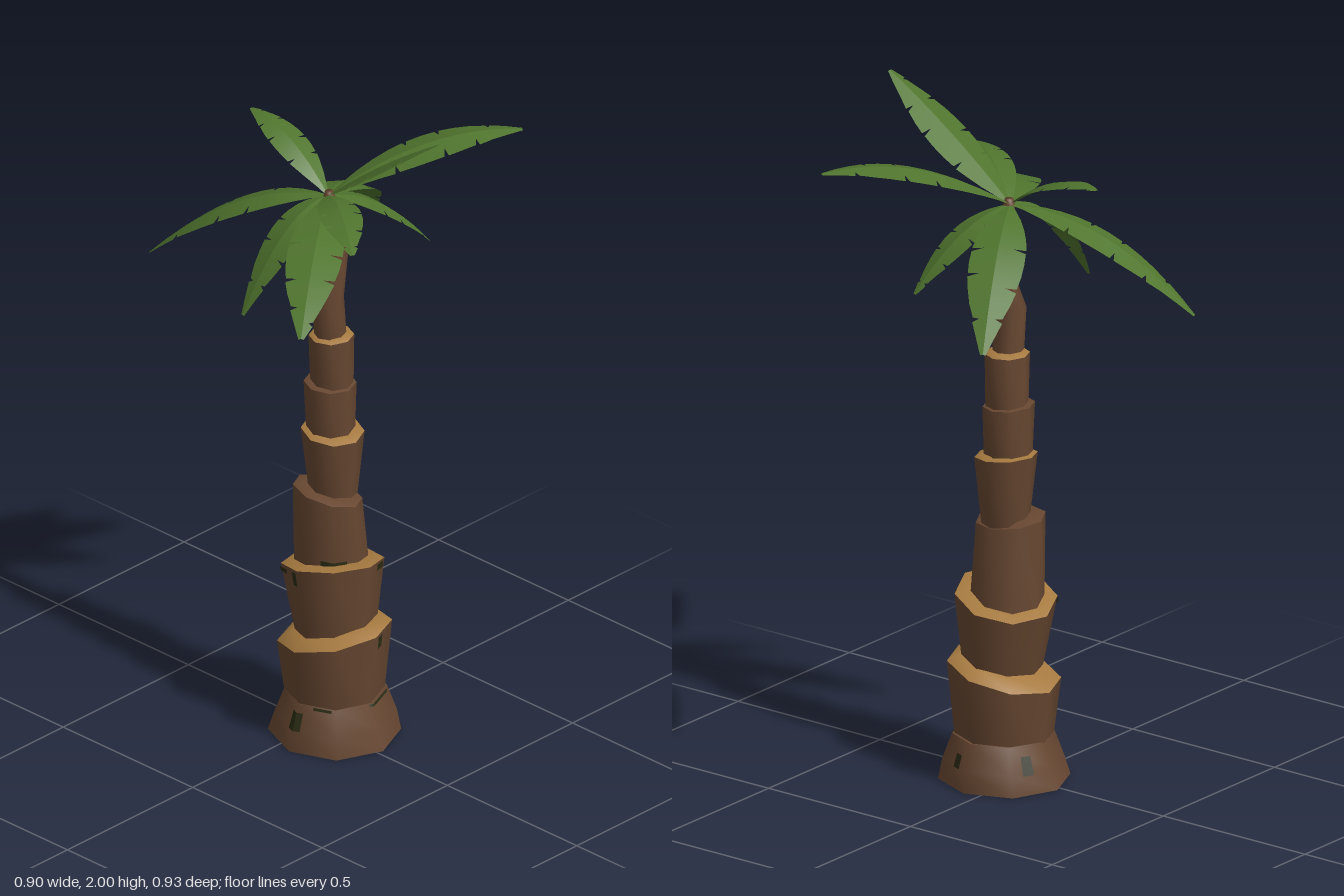
import * as THREE from 'three';
import { mergeGeometries, mergeVertices } from 'three/addons/utils/BufferGeometryUtils.js';

const mat = (name, color, side = THREE.FrontSide) => {
  const m = new THREE.MeshStandardMaterial({ color, side });
  m.name = name;
  return m;
};
const SIDES = 8;
const STEP = (Math.PI * 2) / SIDES;

// Ring: x0..x1 and z0..z1 extents, mean height y, and slopes sx, sz of its plane
const ring = (y, x0, x1, z0, z1, sx = 0, sz = 0) => ({
  y, cx: (x0 + x1) / 2, cz: (z0 + z1) / 2, rx: (x1 - x0) / 2, rz: (z1 - z0) / 2, sx, sz
});

// Point on an eight-sided ring at any angle
function ringPoint(r, a, scale = 1, lift = 0) {
  const local = ((a % STEP) + STEP) % STEP - STEP / 2;
  const k = scale * Math.cos(STEP / 2) / Math.cos(local);
  const dx = Math.cos(a) * k * r.rx, dz = Math.sin(a) * k * r.rz;
  return new THREE.Vector3(r.cx + dx, r.y + dx * r.sx + dz * r.sz + lift, r.cz + dz);
}

// Surface through a grid of points (rows from bottom to top)
function grid(rows) {
  const pos = [], index = [], n = rows[0].length;
  rows.forEach(row => row.forEach(p => pos.push(p.x, p.y, p.z)));
  for (let j = 0; j < rows.length - 1; j++) {
    for (let i = 0; i < n - 1; i++) {
      const a = j * n + i, b = a + n;
      index.push(a, b, b + 1, a, b + 1, a + 1);
    }
  }
  const g = new THREE.BufferGeometry();
  g.setAttribute('position', new THREE.Float32BufferAttribute(pos, 3));
  g.setIndex(index);
  return g;
}
const loop = (r, scale, lift) =>
  Array.from({ length: SIDES + 1 }, (_, i) => ringPoint(r, i * STEP, scale, lift));

function smooth(g) {
  const m = mergeVertices(g, 1e-5);
  m.computeVertexNormals();
  return m;
}

// Trunk segments, each a stack of rings; cap = rise of the top, tan = cut bark colour
const SEGMENTS = [
  { cap: 0, rings: [ring(0, -0.14, 0.235, -0.2, 0.165), ring(0.06, -0.12, 0.22, -0.19, 0.15),
    ring(0.135, -0.09, 0.19, -0.165, 0.125)] },
  { cap: 0.03, tan: true, rings: [ring(0.11, -0.09, 0.185, -0.155, 0.12),
    ring(0.315, -0.11, 0.21, -0.175, 0.145, 0.22, -0.06)] },
  { cap: 0.01, tan: true, rings: [ring(0.3, -0.05, 0.16, -0.13, 0.1),
    ring(0.535, -0.1, 0.19, -0.155, 0.13, 0.22, 0.14)] },
  { cap: 0.01, rings: [ring(0.5, -0.065, 0.145, -0.12, 0.09),
    ring(0.76, -0.065, 0.15, -0.08, 0.09, -0.1, 0.15)] },
  { cap: 0.01, tan: true, rings: [ring(0.75, -0.02, 0.115, -0.08, 0.055),
    ring(0.95, -0.045, 0.135, -0.1, 0.075, -0.1, -0.02)] },
  { cap: 0.005, rings: [ring(0.93, -0.03, 0.105, -0.08, 0.055),
    ring(1.1, -0.035, 0.11, -0.085, 0.065, -0.05, 0.03)] },
  { cap: 0.01, tan: true, rings: [ring(1.08, -0.02, 0.1, -0.075, 0.045),
    ring(1.25, -0.02, 0.105, -0.075, 0.055)] },
  { cap: 0.02, rings: [ring(1.23, 0.0, 0.085, -0.055, 0.04), ring(1.38, -0.002, 0.09, -0.038, 0.05),
    ring(1.5, 0.028, 0.085, -0.05, 0.012), ring(1.57, 0.03, 0.08, -0.042, 0.015),
    ring(1.685, 0.022, 0.058, -0.022, 0.012)] }
];

// Moss: segment, start and end angle in degrees, start and end height fraction
const MOSS = [
  [0, 83, 97, 1.02, 1.7], [0, 50, 72, 1.88, 1.98], [0, -38, 5, 1.88, 1.98],
  [0, 200, 212, 0.9, 1.6], [0, 280, 290, 1, 1.5],
  [3, 20, 65, 0.24, 0.31], [2, 92, 102, 0.8, 0.97], [2, -38, -20, 0.9, 0.98],
  [1, -14, -4, 0.82, 0.98], [2, 118, 135, 0.9, 0.96]
];

function mossPatch([seg, a0, a1, v0, v1]) {
  const { rings } = SEGMENTS[seg];
  const row = v => {
    const i = Math.min(Math.floor(v), rings.length - 2);
    return Array.from({ length: 9 }, (_, k) => {
      const a = THREE.MathUtils.degToRad(a0 + (a1 - a0) * k / 8);
      return ringPoint(rings[i], a, 1.03).lerp(ringPoint(rings[i + 1], a, 1.03), v - i);
    });
  };
  return smooth(grid([row(v0), row((v0 + v1) / 2), row(v1)]));
}

// Leaves: tip x, y, z, arch height of the middle control, half width
const LEAVES = [
  [-0.185, 1.41, -0.41, 1.68, 0.078], [0.345, 1.84, -0.46, 1.88, 0.075],
  [0.445, 2.0, -0.025, 1.875, 0.083], [0.375, 1.73, 0.25, 1.8, 0.06],
  [0.38, 1.55, 0.46, 1.72, 0.078], [-0.01, 1.41, 0.29, 1.7, 0.06],
  [-0.45, 1.41, 0.205, 1.69, 0.072], [-0.305, 1.82, -0.05, 1.84, 0.054],
  [0.15, 1.48, -0.29, 1.68, 0.06]
];
const WIDTH = [0.06, 0.3, 0.55, 0.75, 0.9, 0.98, 1, 0.97, 0.88, 0.74, 0.54, 0.34, 0.1];

function leafGeometry([x, y, z, arch, half], id) {
  const base = new THREE.Vector3(0.035, 1.69, -0.005);
  const curve = new THREE.QuadraticBezierCurve3(base,
    new THREE.Vector3((x + base.x) / 2, arch, (z + base.z) / 2), new THREE.Vector3(x, y, z));
  const across = new THREE.Vector3(-(z - base.z), 0, x - base.x).normalize();
  const last = WIDTH.length - 1;
  const halves = [1, -1].map(side => {
    // u: 0 at the midrib, 1 at the edge, which folds down; shift opens a slit
    const point = (i, u, shift = 0) => {
      const p = curve.getPoint(Math.min(Math.max(i / last + shift, 0), 1));
      const w = half * WIDTH[i] * u;
      p.addScaledVector(across, side * w);
      p.y -= w * 0.22;
      return p;
    };
    const slit = i => (i > 3 && i < last && (i * 2 + id + (side > 0 ? 1 : 0)) % 5 < 2 ? 0.011 : 0);
    const cells = [];
    for (let i = 0; i < last; i++) {
      const rows = [
        [point(i, 0), point(i, 0.55), point(i, 1, slit(i))],
        [point(i + 1, 0), point(i + 1, 0.55), point(i + 1, 1, -slit(i + 1))]
      ];
      if (side < 0) rows.forEach(r => r.reverse());
      cells.push(grid(rows));
    }
    return smooth(mergeGeometries(cells));
  });
  return mergeGeometries(halves);
}

export function createModel() {
  const model = new THREE.Group();
  model.name = 'palmTree';
  const bark = mat('bark', 0x674731);
  const cut = mat('cutBark', 0xa67a40);
  const moss = mat('moss', 0x2a2c14, THREE.DoubleSide);
  const green = mat('leafGreen', 0x50752e, THREE.DoubleSide);
  const add = (parent, name, geometry, material) => {
    const mesh = new THREE.Mesh(geometry, material);
    mesh.name = name;
    parent.add(mesh);
  };

  // Trunk
  const trunk = new THREE.Group();
  trunk.name = 'trunk';
  SEGMENTS.forEach(({ rings, cap, tan }, i) => {
    add(trunk, `trunkSegment${i + 1}`, smooth(grid(rings.map(r => loop(r)))), bark);
    const top = rings[rings.length - 1];
    add(trunk, `segmentTop${i + 1}`,
      smooth(grid([loop(top), loop(top, 0.72, cap), loop(top, 0.001, cap)])), tan ? cut : bark);
    add(trunk, `segmentUnderside${i + 1}`, smooth(grid([loop(rings[0], 0.001), loop(rings[0])])), bark);
  });
  MOSS.forEach((m, i) => add(trunk, `mossPatch${i + 1}`, mossPatch(m), moss));

  // Crown
  const crown = new THREE.Group();
  crown.name = 'crown';
  LEAVES.forEach((l, i) => add(crown, `leaf${i + 1}`, leafGeometry(l, i), green));

  model.add(trunk, crown);
  return model;
}
